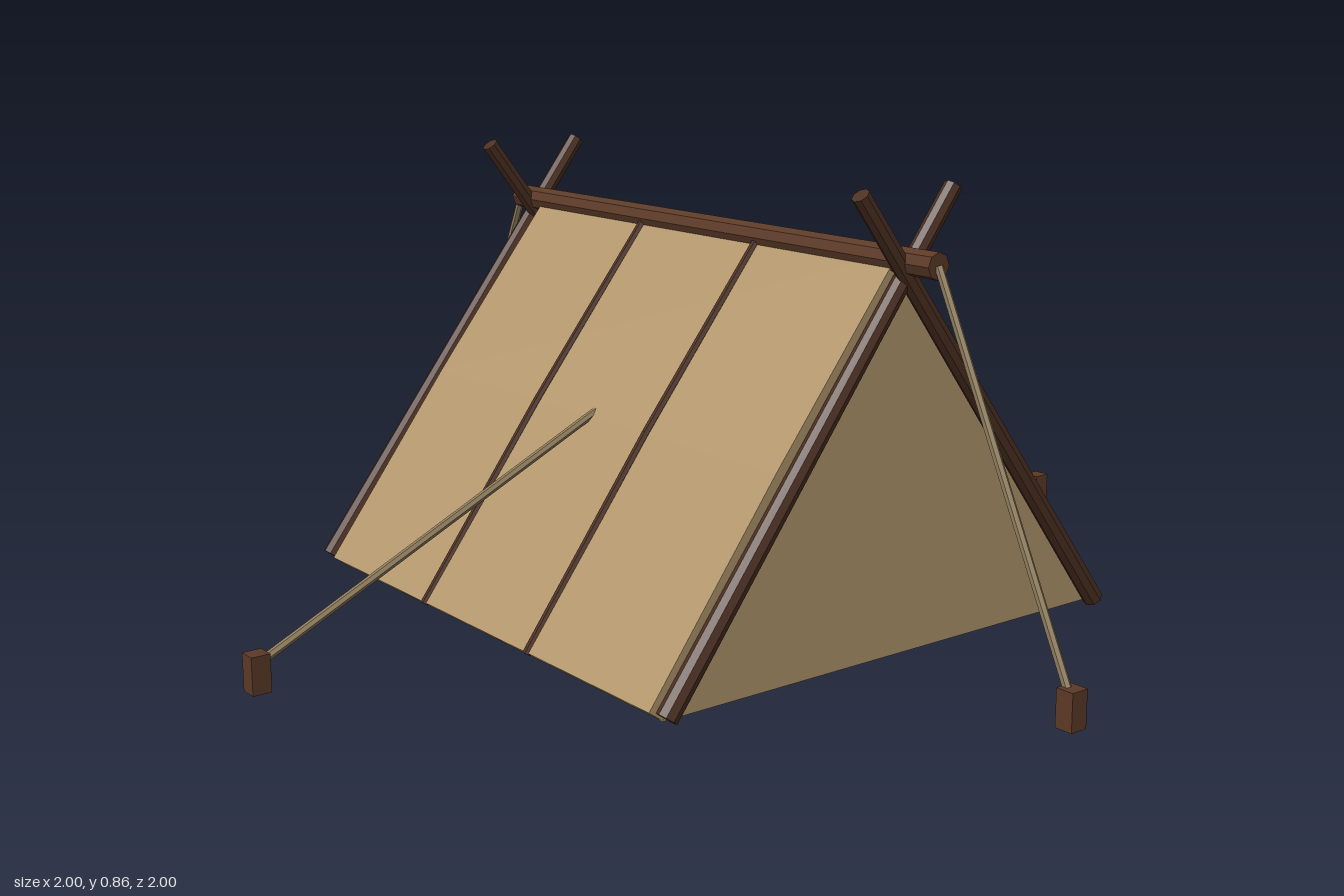
import * as THREE from 'three';

const material = (name, color, flatShading = true) => {
  const m = new THREE.MeshStandardMaterial({ color, flatShading });
  m.name = name;
  return m;
};

export function createModel() {
  const tent = new THREE.Group();
  tent.name = 'tent';

  const canvas = material('canvas', 0xb3976d);
  const wood = material('wood', 0x5c3a27);
  const darkWood = material('dark wood', 0x4d3022);
  const rope = material('rope', 0x8f7c5b);
  const shadow = material('dark opening', 0x2a201f);

  const add = (name, geometry, mat) => {
    const mesh = new THREE.Mesh(geometry, mat);
    mesh.name = name;
    tent.add(mesh);
    return mesh;
  };

  // Straight rod from a to b
  const rod = (name, a, b, rBottom, rTop, sides, mat) => {
    const p = new THREE.Vector3(...a), q = new THREE.Vector3(...b);
    const dir = q.clone().sub(p);
    const mesh = add(name, new THREE.CylinderGeometry(rTop, rBottom, dir.length(), sides), mat);
    mesh.position.copy(p).add(q).multiplyScalar(0.5);
    mesh.quaternion.setFromUnitVectors(new THREE.Vector3(0, 1, 0), dir.normalize());
    return mesh;
  };

  // Flat outline in x and y, extruded from z0 to z1
  const slab = (name, points, z0, z1, mat) => {
    const shape = new THREE.Shape(points.map(([x, y]) => new THREE.Vector2(x, y)));
    const geometry = new THREE.ExtrudeGeometry(shape, { depth: z1 - z0, bevelEnabled: false });
    geometry.translate(0, 0, z0);
    return add(name, geometry, mat);
  };

  // Ridge beam
  rod('ridgeBeam', [0, 0.73, -0.65], [0, 0.73, 0.65], 0.025, 0.025, 8, wood);

  for (const s of [-1, 1]) {
    const side = s > 0 ? 'left' : 'right';

    // Roof panel with a slight bend halfway down
    slab(side + 'RoofPanel', [
      [0, 0.742], [s * 0.276, 0.388], [s * 0.546, 0.025],
      [s * 0.515, 0.002], [s * 0.246, 0.362], [0, 0.69],
    ], -0.55, 0.55, canvas);

    // Seam battens over the roof
    for (const z of [-0.18, 0.18]) {
      rod(side + 'UpperBatten', [s * 0.276, 0.39, z], [0, 0.742, z], 0.008, 0.008, 6, darkWood);
      rod(side + 'LowerBatten', [s * 0.546, 0.022, z], [s * 0.276, 0.39, z], 0.008, 0.008, 6, darkWood);
    }

    // Crossed end poles
    for (const z of [0.57, -0.6]) {
      rod(side + 'EndPole', [s * 0.521, 0.013, z + s * 0.005], [s * -0.115, 0.853, z + s * 0.005],
        0.02, 0.017, 8, darkWood);
    }

    // Back wall half and its rolled door flap
    slab(side + 'BackWall', [[0, 0.7], [s * 0.51, 0.004], [s * 0.18, 0.004]], -0.565, -0.556, canvas);
    rod(side + 'RolledFlap', [s * 0.188, 0.015, -0.578], [s * 0.015, 0.65, -0.572], 0.025, 0.013, 8, canvas);

    // Side guy rope and stake
    rod(side + 'GuyRope', [s * 0.98, 0.05, 0], [s * 0.255, 0.4, 0], 0.008, 0.008, 6, rope);
    add(side + 'Stake', new THREE.BoxGeometry(0.036, 0.07, 0.036), wood).position.set(s * 0.982, 0.035, 0);

    // Guy rope and stake at each end
    const end = s > 0 ? 'front' : 'back';
    rod(end + 'GuyRope', [0, 0.05, s * 0.98], [0, 0.73, s * 0.65], 0.008, 0.008, 6, rope);
    add(end + 'Stake', new THREE.BoxGeometry(0.036, 0.07, 0.036), wood).position.set(0, 0.035, s * 0.982);
  }

  // Closed front wall and the dark doorway behind the back flaps
  slab('frontWall', [[-0.52, 0.004], [0.52, 0.004], [0, 0.71]], 0.542, 0.552, canvas);
  slab('doorway', [[-0.5, 0.003], [0.5, 0.003], [0, 0.68]], -0.555, -0.515, shadow);

  return tent;
}
